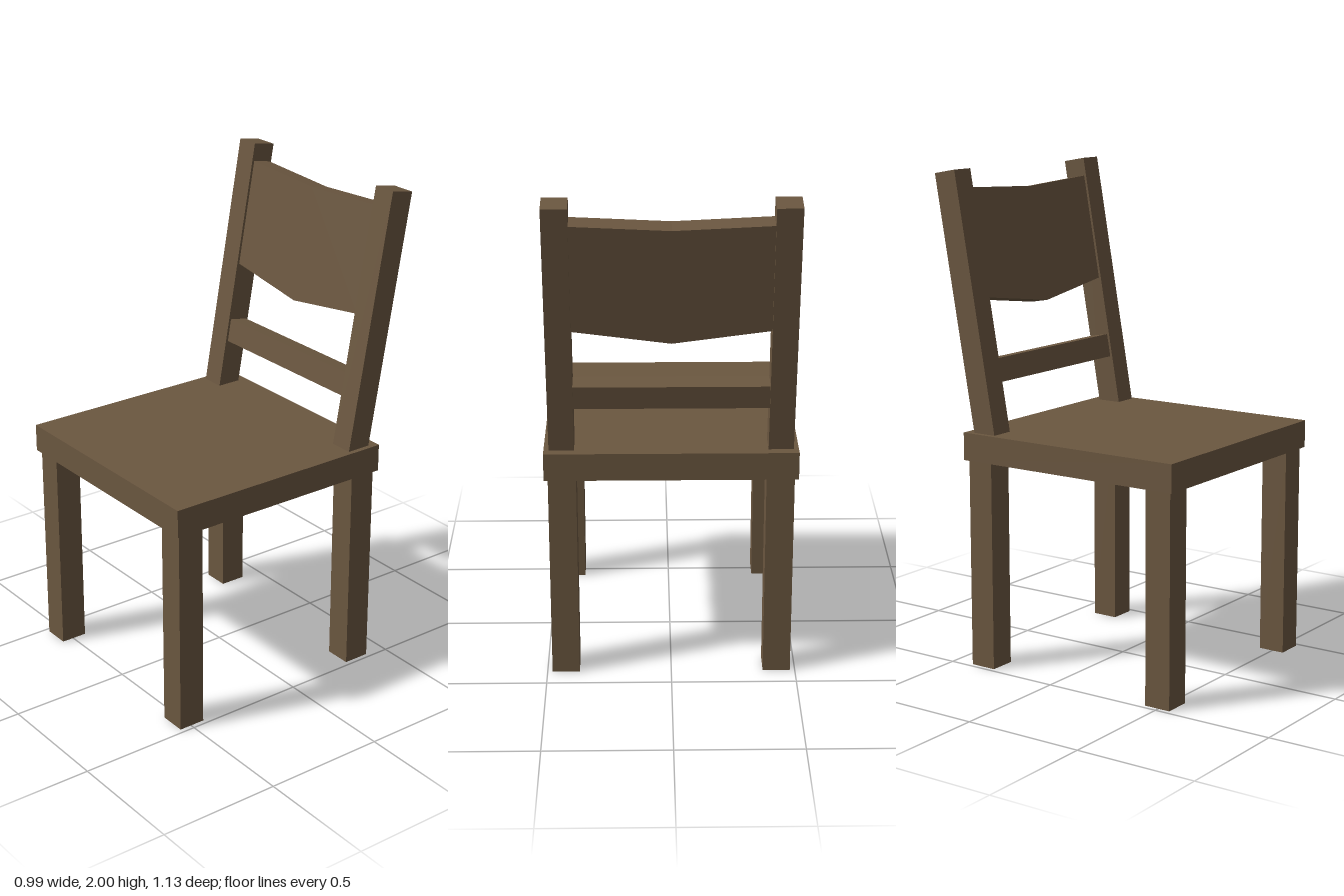
import * as THREE from 'three';

export function createModel() {
  const model = new THREE.Group();
  model.name = 'chair';
  const wood = new THREE.MeshStandardMaterial({ color: 0x6b5740 });
  wood.name = 'brown wood';

  // Box given by its extents on each axis
  function box(name, [x0, x1], [y0, y1], [z0, z1], parent) {
    const mesh = new THREE.Mesh(new THREE.BoxGeometry(x1 - x0, y1 - y0, z1 - z0), wood);
    mesh.position.set((x0 + x1) / 2, (y0 + y1) / 2, (z0 + z1) / 2);
    mesh.name = name;
    parent.add(mesh);
  }

  // Seat
  box('seat', [-0.495, 0.495], [0.853, 0.965], [-0.425, 0.565], model);

  // Backrest leans back 10 degrees about the front foot of its posts
  const backrest = new THREE.Group();
  backrest.name = 'backrest';
  backrest.position.set(0, 0.965, -0.285);
  backrest.rotation.x = -THREE.MathUtils.degToRad(10);
  model.add(backrest);

  // Legs and posts, mirrored left and right
  for (const [side, s] of [['left', 1], ['right', -1]]) {
    const span = (a, b) => (s > 0 ? [a, b] : [-b, -a]);
    box(side + 'FrontLeg', span(0.37, 0.48), [0, 0.853], [0.44, 0.55], model);
    box(side + 'BackLeg', span(0.37, 0.48), [0, 0.853], [-0.41, -0.3], model);
    box(side + 'Post', span(0.377, 0.475), [-0.01, 1.051], [-0.1, 0], backrest);
  }

  // Lower rail
  box('rail', [-0.377, 0.377], [0.2, 0.296], [-0.09, -0.01], backrest);

  // Upper panel, dipping to a shallow V at the middle
  const outline = new THREE.Shape([
    [-0.377, 0.54], [0, 0.487], [0.377, 0.54],
    [0.377, 0.977], [0, 0.958], [-0.377, 0.977],
  ].map(([x, y]) => new THREE.Vector2(x, y)));
  const panel = new THREE.Mesh(
    new THREE.ExtrudeGeometry(outline, { depth: 0.08, bevelEnabled: false }), wood);
  panel.position.z = -0.09;
  panel.name = 'backPanel';
  backrest.add(panel);

  return model;
}
